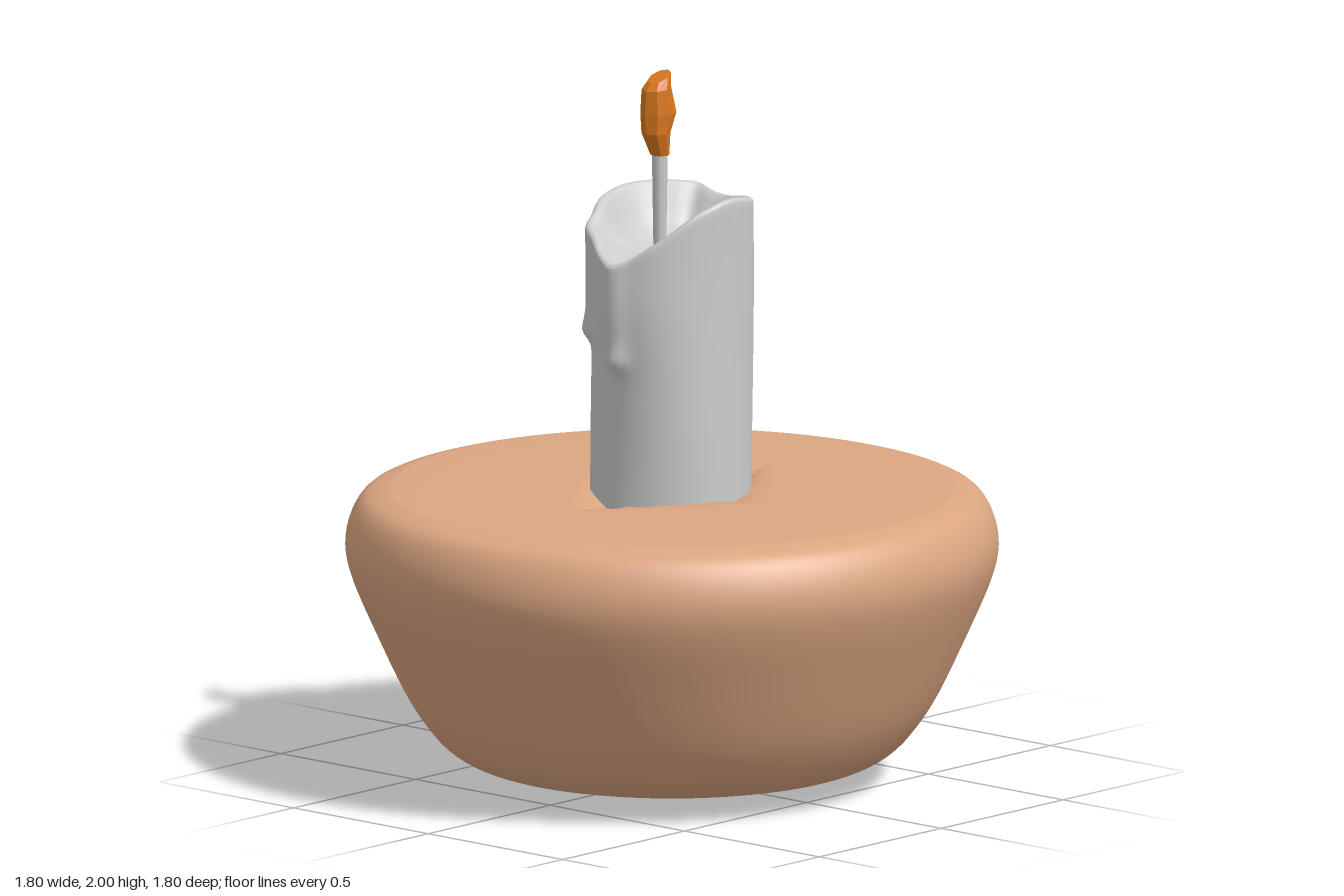
import * as THREE from 'three';

const TAU = Math.PI * 2;
const V2 = (x, y) => new THREE.Vector2(x, y);

// Closed skin over rings of `n` points; point(row, angle) gives [x, y, z], angle 0 faces +z.
function loft(rows, n, point) {
  const pos = [], index = [];
  for (let i = 0; i < rows; i++) {
    for (let j = 0; j < n; j++) pos.push(...point(i, (j / n) * TAU));
  }
  for (let i = 0; i < rows - 1; i++) {
    for (let j = 0; j < n; j++) {
      const k = (j + 1) % n, a = i * n + j, b = i * n + k;
      index.push(a, b, b + n, a, b + n, a + n);
    }
  }
  const geo = new THREE.BufferGeometry();
  geo.setAttribute('position', new THREE.Float32BufferAttribute(pos, 3));
  geo.setIndex(index);
  geo.computeVertexNormals();
  return geo;
}

function part(name, geo, color, flatShading = false) {
  const mesh = new THREE.Mesh(geo, new THREE.MeshStandardMaterial({ color, flatShading }));
  mesh.name = name;
  return mesh;
}

// Rounded dish with a small diamond-shaped dip under the candle
function makeBase() {
  const side = new THREE.SplineCurve([
    V2(0.4, 0.035), V2(0.54, 0.06), V2(0.62, 0.1), V2(0.68, 0.165), V2(0.74, 0.26),
    V2(0.82, 0.43), V2(0.88, 0.57), V2(0.9, 0.66), V2(0.885, 0.74), V2(0.845, 0.797), V2(0.77, 0.82),
  ]).getPoints(40);
  const top = [0.6, 0.45, 0.38, 0.33, 0.28, 0.23, 0.18, 0.1, 0].map((r) => V2(r, 0.82));
  const geo = new THREE.LatheGeometry([V2(0, 0.004), V2(0.2, 0.02), ...side, ...top], 128);
  const p = geo.attributes.position;
  for (let i = 0; i < p.count; i++) {
    if (p.getY(i) < 0.819) continue;
    const d = Math.abs(p.getZ(i)) / 0.38 + Math.abs(p.getX(i)) / 0.26;
    p.setY(i, p.getY(i) - 0.12 * Math.max(0, 1 - d));
  }
  geo.computeVertexNormals();
  return geo;
}

// Rim height every 30 degrees, starting at the front and turning towards +x
const RIM = [1.485, 1.55, 1.625, 1.66, 1.645, 1.625, 1.61, 1.635, 1.64, 1.635, 1.61, 1.54];
function rimHeight(a) {
  const t = ((a / TAU) * 12 + 12) % 12, i = Math.floor(t), f = t - i;
  const [p, q, r, s] = [-1, 0, 1, 2].map((k) => RIM[(i + k + 12) % 12]);
  return q + 0.5 * f * (r - p + f * (2 * p - 5 * q + 4 * r - s + f * (3 * (q - r) + s - p)));
}

// Wax runs: angle, end height, thickness, half width in radians
const DRIPS = [
  [0.03, 1.2, 0.026, 0.13],
  [-0.72, 1.26, 0.022, 0.13],
  [-2.72, 1.38, 0.026, 0.14],
  [2.95, 1.12, 0.008, 0.15, 1.2],
];
function dripBulge(a, y) {
  let sum = 0;
  for (const [angle, end, thick, width, start = 9] of DRIPS) {
    const d = Math.atan2(Math.sin(a - angle), Math.cos(a - angle));
    const across = Math.exp(-((d / width) ** 2));
    const run = THREE.MathUtils.smoothstep(y, end - 0.035, end + 0.015)
      * (1 - THREE.MathUtils.smoothstep(y, start, start + 0.06));
    const bead = 0.5 * Math.exp(-(((y - end - 0.01) / 0.04) ** 2));
    sum += thick * across * (0.75 * run + bead);
  }
  return sum;
}

// Candle wall, rounded uneven rim and melted hollow in one skin
function makeCandle() {
  const bottom = 0.66, wall = 60;
  // Rim and hollow: radius scale, and blend from rim height (0) to hollow floor (1)
  const hollow = [[0.985, -0.03], [0.95, -0.06], [0.9, -0.04], [0.84, 0.08], [0.76, 0.3], [0.66, 0.55],
    [0.52, 0.78], [0.36, 0.92], [0.18, 0.99], [0, 1]];
  return loft(wall + 1 + hollow.length, 96, (i, a) => {
    const rim = rimHeight(a) - 0.01;
    const t = Math.min(i / wall, 1);
    let y = bottom + (rim - bottom) * t;
    const front = 0.018 * Math.max(0, Math.cos(a)) ** 6 * THREE.MathUtils.smoothstep(y, 1.12, 1.4);
    const wobble = 0.003 * Math.sin(3 * a + 5 * y);
    let r = 0.217 + 0.008 * Math.abs(Math.cos(a)) + wobble + front + dripBulge(a, y);
    if (i > wall) {
      const [scale, drop] = hollow[i - wall - 1];
      r *= scale;
      y = drop < 0 ? rim - drop * 0.2 : rim + (1.475 - rim) * drop;
    }
    return [r * Math.sin(a), y, r * Math.cos(a)];
  });
}

// Faceted flame: height, z centre, half width, half depth, tilt of the ring
const FLAME = [
  [1.76, 0.05, 0, 0, 0],
  [1.765, 0.05, 0.028, 0.024, 0],
  [1.83, 0.066, 0.04, 0.04, 0],
  [1.885, 0.056, 0.046, 0.054, 0],
  [1.955, 0.064, 0.04, 0.042, -0.1],
  [1.985, 0.052, 0.03, 0.036, -0.4],
  [1.985, 0.052, 0, 0, 0],
];
function makeFlame() {
  return loft(FLAME.length, 8, (i, a) => {
    const [y, z, w, d, tilt] = FLAME[i];
    const dz = d * Math.cos(a);
    return [w * Math.sin(a), y + tilt * dz, z + dz];
  });
}

export function createModel() {
  const model = new THREE.Group();
  model.name = 'candleInDish';

  const wick = part('wick', new THREE.CylinderGeometry(0.022, 0.017, 0.32, 8), 0xcccccc);
  wick.position.set(0, 1.62, 0.05);

  model.add(
    part('dish', makeBase(), 0xdba681),
    part('candle', makeCandle(), 0xcccccc),
    wick,
    part('flame', makeFlame(), 0xd9771f, true),
  );
  return model;
}
